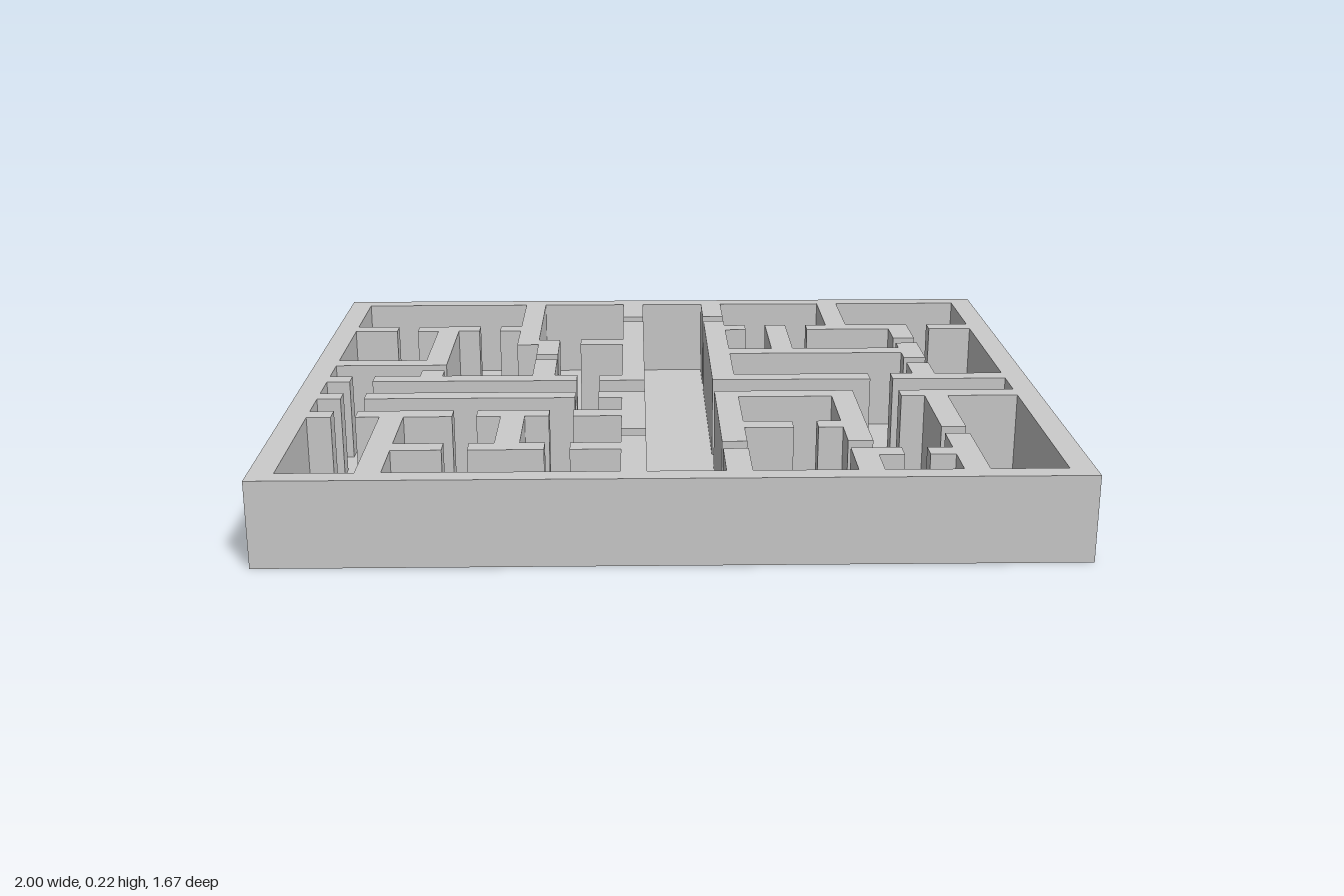
import * as THREE from 'three';

// The plan is a 32 x 32 grid of cells, counted from the back right corner
const N = 32, WIDTH = 2, DEPTH = 5 / 3, HEIGHT = 0.22;

// Walls running along x: row, then [start, end] spans of columns
const rows = [
  [0, [0, 32]],
  [6, [1, 3], [4, 7], [8, 10], [19, 20], [23, 28], [29, 31]],
  [9, [9, 11], [12, 15]],
  [11, [19, 27]],
  [13, [1, 6]],
  [16, [1, 2], [3, 12], [13, 15], [18, 25], [26, 31]],
  [19, [1, 2], [3, 12], [13, 15], [18, 24], [26, 31]],
  [22, [1, 2], [3, 7], [8, 11], [12, 15]],
  [24, [19, 21], [22, 24]],
  [27, [5, 7], [8, 11], [12, 15]],
  [28, [24, 25], [26, 27]],
  [31, [0, 32]],
];

// Walls running along z: column, then [start, end] spans of rows
const columns = [
  [0, [0, 32]],
  [4, [22, 31]],
  [5, [6, 14], [15, 16]],
  [9, [1, 10], [22, 28]],
  [10, [9, 12], [13, 16]],
  [14, [1, 4], [5, 17], [19, 25], [26, 31]],
  [18, [1, 4], [5, 17], [19, 27], [28, 31]],
  [21, [6, 11]],
  [23, [19, 27], [28, 31]],
  [24, [1, 6]],
  [27, [6, 9], [10, 13], [14, 17], [19, 25], [26, 31]],
  [31, [0, 32]],
];

export function createModel() {
  const model = new THREE.Group();
  model.name = 'floorPlan';
  const material = new THREE.MeshStandardMaterial({ color: 0xcccccc, side: THREE.DoubleSide });

  // Mark the cells that hold a wall
  const solid = new Set();
  const key = (i, k) => `${i},${k}`;
  for (const [k, ...spans] of rows)
    for (const [a, b] of spans) for (let i = a; i < b; i++) solid.add(key(i, k));
  for (const [i, ...spans] of columns)
    for (const [a, b] of spans) for (let k = a; k < b; k++) solid.add(key(i, k));

  // Quad from four grid corners [column, height, row], counter-clockwise from its front
  const addQuad = (list, a, b, c, d) => {
    for (const [i, y, k] of [a, b, c, a, c, d])
      list.push((i / N - 0.5) * WIDTH, y, (k / N - 0.5) * DEPTH);
  };
  const level = (list, i, k, y) =>
    addQuad(list, [i, y, k], [i, y, k + 1], [i + 1, y, k + 1], [i + 1, y, k]);
  const upright = (list, i0, k0, i1, k1) =>
    addQuad(list, [i0, 0, k0], [i1, 0, k1], [i1, HEIGHT, k1], [i0, HEIGHT, k0]);

  // Room floors at ground level; hollow walls, open underneath, with a closed top
  const floors = [], tops = [], sides = [];
  for (let i = 0; i < N; i++) {
    for (let k = 0; k < N; k++) {
      if (!solid.has(key(i, k))) {
        level(floors, i, k, 0);
        continue;
      }
      level(tops, i, k, HEIGHT);
      if (!solid.has(key(i, k + 1))) upright(sides, i, k + 1, i + 1, k + 1);
      if (!solid.has(key(i, k - 1))) upright(sides, i + 1, k, i, k);
      if (!solid.has(key(i + 1, k))) upright(sides, i + 1, k + 1, i + 1, k);
      if (!solid.has(key(i - 1, k))) upright(sides, i, k, i, k + 1);
    }
  }

  const addPart = (name, list) => {
    const geometry = new THREE.BufferGeometry();
    geometry.setAttribute('position', new THREE.Float32BufferAttribute(list, 3));
    geometry.computeVertexNormals();
    const mesh = new THREE.Mesh(geometry, material);
    mesh.name = name;
    model.add(mesh);
  };
  addPart('roomFloors', floors);
  addPart('wallTops', tops);
  addPart('wallSides', sides);

  return model;
}
